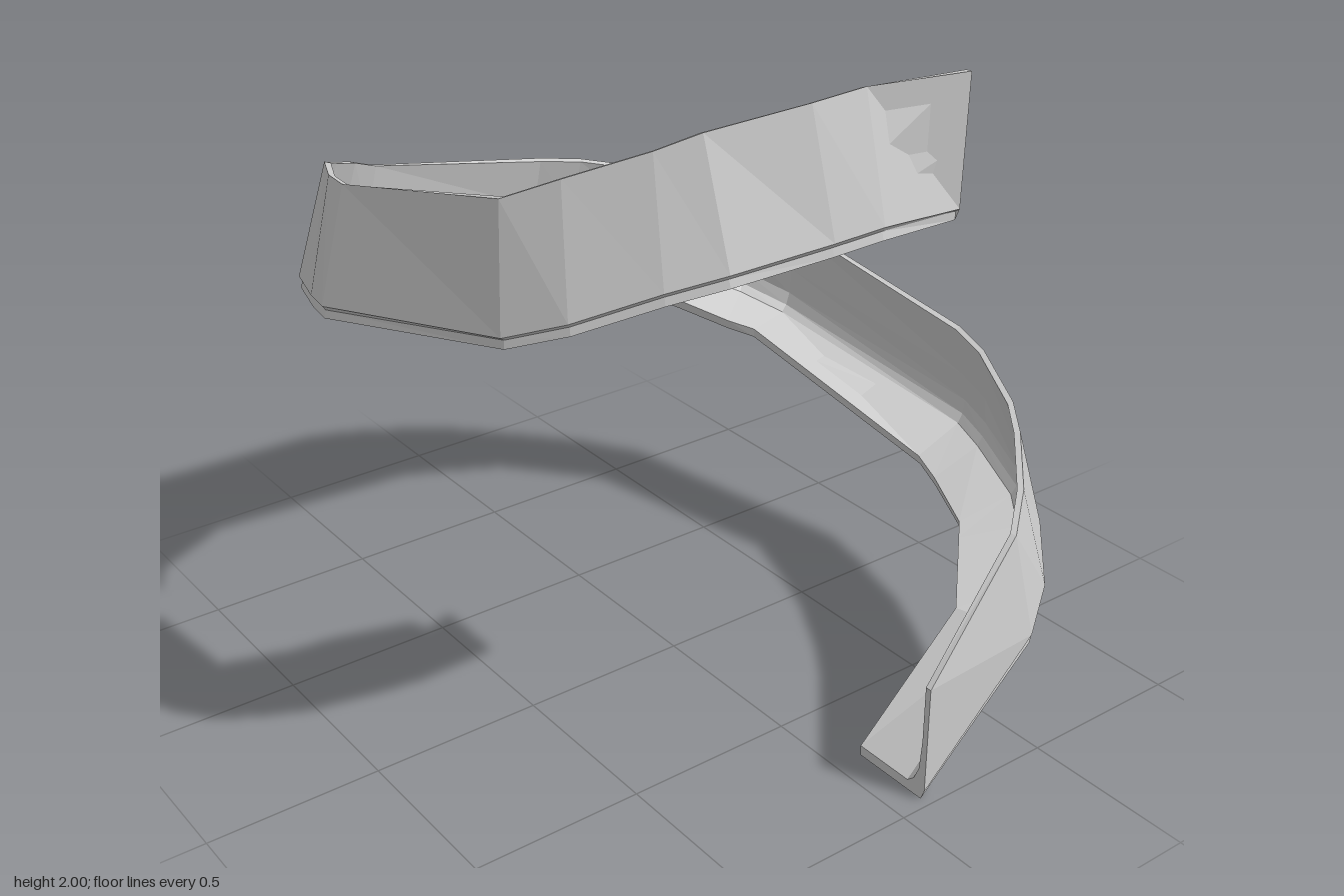
import * as THREE from 'three';

// One corner turn: outer base (x, z, y), wall top (x, z, y), ledge rim (x, z, y).
// Heights are relative to the wall top at the end of the turn.
const TURN = [
  [-0.51, -0.87, -0.55, -0.46, -0.83, -0.24, -0.44, -0.65, -0.55],
  [-0.65, -0.78, -0.49, -0.575, -0.74, -0.18, -0.50, -0.59, -0.525],
  [-0.79, -0.62, -0.41, -0.71, -0.59, -0.11, -0.61, -0.48, -0.465],
  [-0.87, -0.50, -0.37, -0.77, -0.50, -0.07, -0.65, -0.44, -0.445],
  [-0.95, -0.27, -0.325, -0.87, -0.28, -0.02, -0.73, -0.25, -0.41],
  [-0.98, -0.15, -0.305, -0.90, -0.15, 0, -0.76, -0.15, -0.39],
];
const RISE = 0.37;

// Cross-section details as [distance in from the wall face, height above the ledge]
const WALL = 0.018;
const FILLET = [[WALL, 0.15], [0.025, 0.06], [0.042, 0.02], [0.065, 0]];
const FLOOR = 0.03;
const GROOVE = 0.012;

const vec = (x, y, z) => new THREE.Vector3(x, y, z);

// Stations along the spiral: the same turn repeated by quarter rotations
function makeStations() {
  const list = [{ base: vec(0.98, 0.03, -0.09), top: vec(0.98, 0.35, -0.09), rim: vec(0.73, 0.03, -0.09) }];
  for (let k = -1; k <= 2; k++) {
    const place = (x, z, y) => {
      const p = vec(x, y + 1.25 + RISE * k, z).applyAxisAngle(vec(0, 1, 0), k * Math.PI / 2);
      if (k === -1) p.x += 0.065; // the first turn sits further out
      return p;
    };
    for (const t of TURN) {
      list.push({ base: place(t[0], t[1], t[2]), top: place(t[3], t[4], t[5]), rim: place(t[6], t[7], t[8]) });
    }
  }
  list.push({ base: vec(0.97, 1.67, -0.09), top: vec(0.98, 2, -0.09), rim: vec(0.73, 1.66, -0.09) });
  return list;
}

// L-shaped section: thin wall, fillet, ledge and a small groove under the wall
function makeSection({ base, top, rim }) {
  const inward = rim.clone().sub(base).normalize();
  const up = top.clone().sub(base).normalize();
  const at = (p, s, u) => p.clone().addScaledVector(inward, s).addScaledVector(up, u);
  return [
    base, top, at(top, WALL, 0),
    ...FILLET.map(([s, u]) => at(base, s, u)),
    rim, at(rim, 0, -FLOOR),
    at(base, GROOVE, -FLOOR), at(base, GROOVE, -0.008),
  ];
}

// Joins the sections into one closed solid
function sweep(sections) {
  const out = [];
  const tri = (...pts) => pts.forEach((p) => out.push(p.x, p.y, p.z));
  const count = sections[0].length;
  for (let i = 0; i < sections.length - 1; i++) {
    const a = sections[i], b = sections[i + 1];
    for (let j = 0; j < count; j++) {
      const n = (j + 1) % count;
      tri(a[j], b[j], a[n]);
      tri(a[n], b[j], b[n]);
    }
  }
  // End caps, fanned from the outer base corner
  const s = sections[0], e = sections[sections.length - 1];
  for (let j = 1; j < count - 1; j++) {
    tri(s[0], s[j], s[j + 1]);
    tri(e[0], e[j + 1], e[j]);
  }
  const geo = new THREE.BufferGeometry();
  geo.setAttribute('position', new THREE.Float32BufferAttribute(out, 3));
  geo.computeVertexNormals();
  return geo;
}

export function createModel() {
  const group = new THREE.Group();
  group.name = 'spiralRamp';
  const material = new THREE.MeshStandardMaterial({ color: 0xcccccc, flatShading: true, side: THREE.DoubleSide });

  // Banked ledge with its outer wall, climbing just over one full circle
  const ramp = new THREE.Mesh(sweep(makeStations().map(makeSection)), material);
  ramp.name = 'walledRamp';
  group.add(ramp);
  return group;
}
